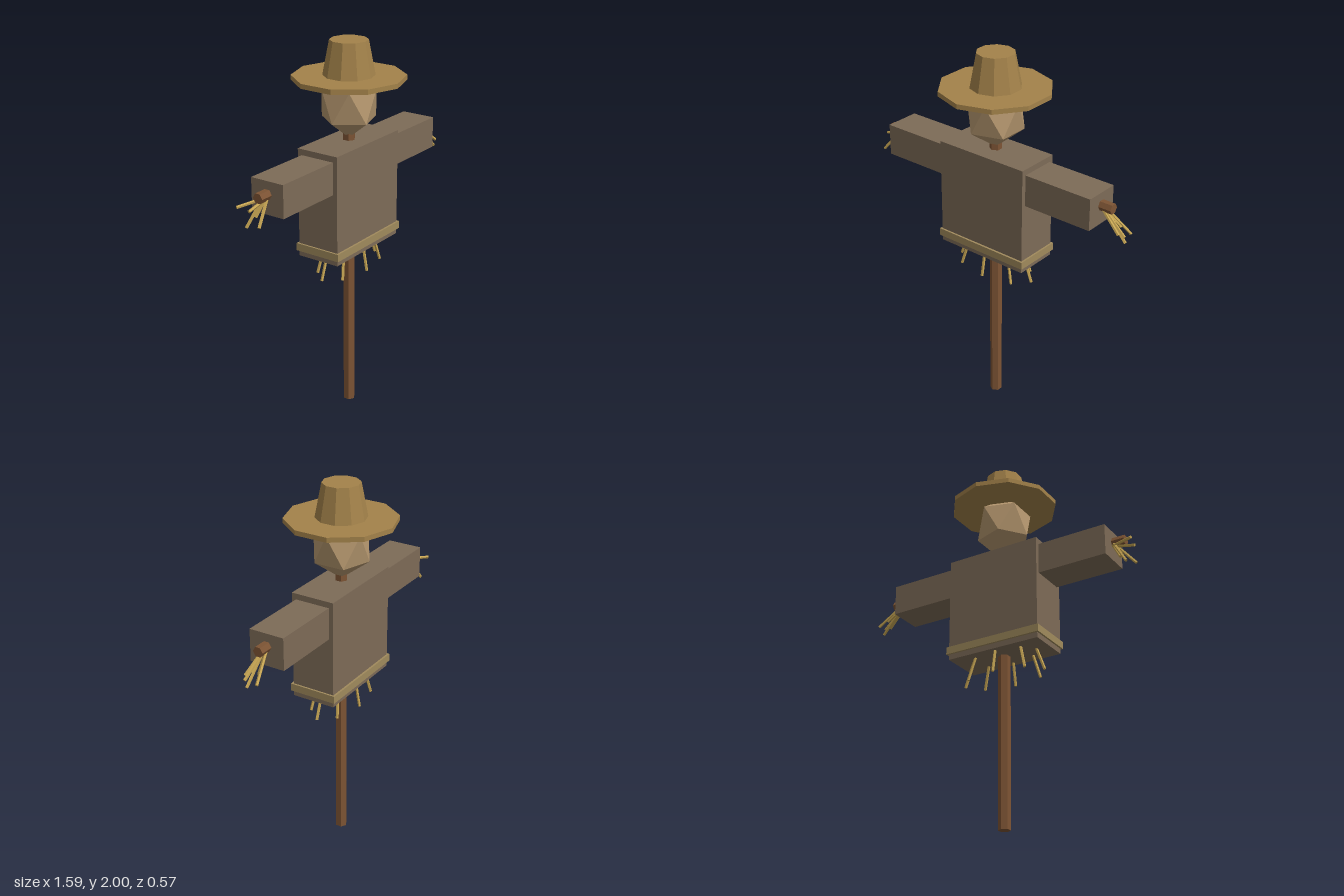
import * as THREE from 'three';

const mat = (color) => new THREE.MeshStandardMaterial({ color, flatShading: true });

export function createModel() {
  const model = new THREE.Group();
  const wood = mat(0x7d5434), cloth = mat(0x7d6b57), belt = mat(0xa08a5c);
  const sack = mat(0xb4966e), hat = mat(0xa3824a), straw = mat(0xc4a352);

  // Everything shares one axis, slightly off the middle because the hands differ
  const body = new THREE.Group();
  body.name = 'scarecrow';
  body.position.set(-0.015, 0, -0.002);
  model.add(body);

  const add = (name, geometry, material, x, y, z, parent = body) => {
    const mesh = new THREE.Mesh(geometry, material);
    mesh.name = name;
    mesh.position.set(x, y, z);
    parent.add(mesh);
    return mesh;
  };

  // Thin four-sided stalk between two points
  const addStraw = (from, to, parent) => {
    const a = new THREE.Vector3(...from), b = new THREE.Vector3(...to);
    const dir = b.clone().sub(a);
    const mid = a.clone().add(b).multiplyScalar(0.5);
    const stalk = add('straw', new THREE.CylinderGeometry(0.008, 0.008, dir.length(), 5), straw, mid.x, mid.y, mid.z, parent);
    stalk.quaternion.setFromUnitVectors(new THREE.Vector3(0, 1, 0), dir.normalize());
  };

  // Wooden cross
  add('pole', new THREE.CylinderGeometry(0.032, 0.032, 1.7, 6), wood, 0, 0.85, 0);
  add('crossbar', new THREE.CylinderGeometry(0.0275, 0.0275, 1.435, 6), wood, 0, 1.395, 0).rotation.z = Math.PI / 2;

  // Shirt
  add('torso', new THREE.BoxGeometry(0.53, 0.574, 0.238), cloth, 0, 1.205, 0);
  add('belt', new THREE.BoxGeometry(0.55, 0.04, 0.26), belt, 0, 0.967, 0);
  for (const side of [1, -1]) {
    add(side > 0 ? 'leftSleeve' : 'rightSleeve', new THREE.BoxGeometry(0.4, 0.168, 0.19), cloth, side * 0.448, 1.377, 0);
  }

  // Sack head: icosahedron standing on a corner, stretched upward
  const headGeo = new THREE.IcosahedronGeometry(0.16, 0);
  headGeo.rotateX(-Math.atan((1 + Math.sqrt(5)) / 2));
  headGeo.rotateY(Math.PI / 2);
  headGeo.scale(1, 1.15, 1);
  add('head', headGeo, sack, 0, 1.684, 0);

  // Hat
  add('hatBrim', new THREE.CylinderGeometry(0.287, 0.287, 0.025, 10), hat, 0, 1.811, 0);
  add('hatCrown', new THREE.CylinderGeometry(0.097, 0.132, 0.18, 10), hat, 0, 1.91, 0);

  // Straw ring poking out under the shirt
  const hem = new THREE.Group();
  hem.name = 'hemStraw';
  body.add(hem);
  for (let i = 0; i < 8; i++) {
    const c = Math.cos(i * Math.PI / 4), s = Math.sin(i * Math.PI / 4);
    addStraw([0.18 * c, 0.95, 0.085 * s], [0.237 * c, 0.795, 0.113 * s], hem);
  }

  // Straw hands, each a drooping fan of uneven stalks
  const hands = {
    leftHand: [[0.8, 1.245, 0.01], [0.795, 1.27, -0.045], [0.775, 1.29, 0.035], [0.8, 1.28, 0.02], [0.75, 1.3, -0.025]],
    rightHand: [[-0.78, 1.355, -0.075], [-0.74, 1.245, -0.055], [-0.755, 1.27, 0.035], [-0.77, 1.345, -0.01], [-0.7, 1.29, -0.03]],
  };
  for (const [name, tips] of Object.entries(hands)) {
    const hand = new THREE.Group();
    hand.name = name;
    body.add(hand);
    for (const [x, y, z] of tips) addStraw([Math.sign(x) * 0.64, 1.375 + (1.36 - y) * 0.35, z * 0.1], [x, y, z], hand);
  }
  return model;
}
